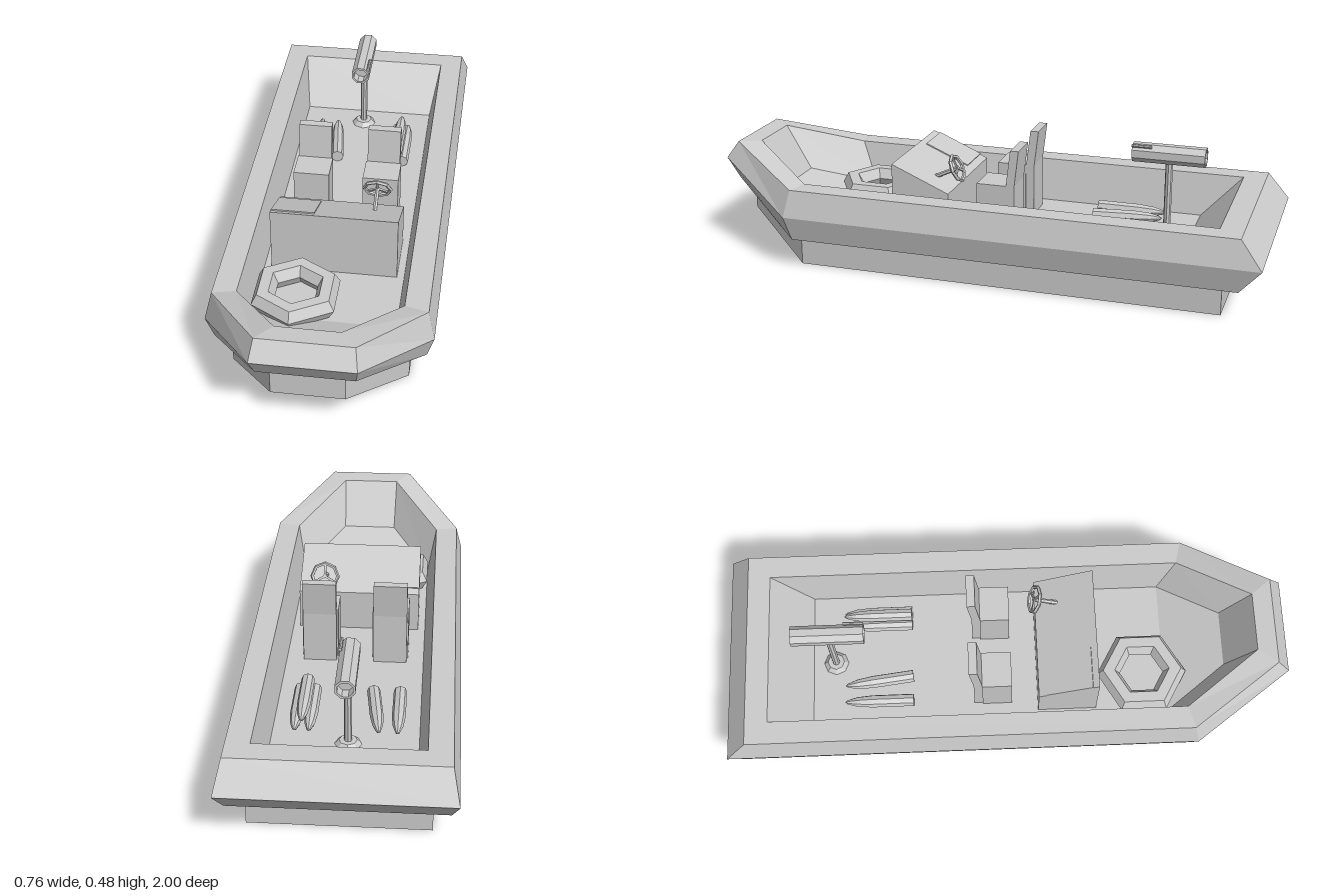
import * as THREE from 'three';

const mat = new THREE.MeshStandardMaterial({ color: 0xcccccc, flatShading: true });
const matTwo = new THREE.MeshStandardMaterial({ color: 0xcccccc, flatShading: true, side: THREE.DoubleSide });

const FLOOR = 0.145;

function add(parent, name, geo, pos = [0, 0, 0], rot = [0, 0, 0], material = mat) {
  const m = new THREE.Mesh(geo, material);
  m.name = name;
  m.position.set(...pos);
  m.rotation.set(...rot);
  parent.add(m);
  return m;
}

// Boat-shaped ring of six corners from its left stern, bend and bow corners
function ring(stern, bend, bow) {
  const half = [stern, bend, bow];
  return [...half, ...half.slice().reverse().map(([x, y, z]) => [-x, y, z])];
}

// Skin a list of rings, with optional flat caps on the first and last
function loft(rings, capStart, capEnd) {
  const v = [];
  const quad = (a, b, c, d) => [a, b, c, a, c, d].forEach(p => v.push(...p));
  for (let r = 0; r < rings.length - 1; r++) {
    const lo = rings[r], hi = rings[r + 1];
    for (let i = 0; i < 6; i++) {
      const j = (i + 1) % 6;
      quad(lo[i], hi[i], hi[j], lo[j]);
    }
  }
  const cap = (p, flip) => [[0, 1, 4, 5], [1, 2, 3, 4]].forEach(q => {
    const c = q.map(i => p[i]);
    quad(...(flip ? c.reverse() : c));
  });
  if (capStart) cap(rings[0], false);
  if (capEnd) cap(rings[rings.length - 1], true);
  const g = new THREE.BufferGeometry();
  g.setAttribute('position', new THREE.Float32BufferAttribute(v, 3));
  g.computeVertexNormals();
  return g;
}

// Side profile given as [z, y] points, extruded across x and centred
function sideExtrude(points, width) {
  const s = new THREE.Shape(points.map(([z, y]) => new THREE.Vector2(-z, y)));
  const g = new THREE.ExtrudeGeometry(s, { depth: width, bevelEnabled: false });
  g.translate(0, 0, -width / 2);
  g.rotateY(Math.PI / 2);
  return g;
}

function buildBoat(root) {
  const hullBottom = ring([0.298, 0, -0.865], [0.298, 0, 0.65], [0.12, 0.13, 0.915]);
  const hullTop = ring([0.298, 0.108, -0.865], [0.298, 0.108, 0.65], [0.12, 0.235, 0.915]);
  const outerLow = ring([0.355, 0.112, -0.925], [0.355, 0.112, 0.66], [0.158, 0.253, 0.955]);
  const outerMid = ring([0.378, 0.2, -1], [0.378, 0.2, 0.68], [0.168, 0.33, 1]);
  const outerTop = ring([0.355, 0.297, -0.925], [0.355, 0.297, 0.66], [0.157, 0.393, 0.955]);
  const innerTop = ring([0.275, 0.297, -0.845], [0.275, 0.297, 0.64], [0.105, 0.387, 0.887]);
  const floor = ring([0.245, FLOOR, -0.7], [0.245, FLOOR, 0.58], [0.1, 0.225, 0.79]);
  add(root, 'hull', loft([hullBottom, hullTop], true, false));
  add(root, 'floatCollar', loft([hullTop, outerLow, outerMid, outerTop, innerTop], false, false));
  add(root, 'cockpitLining', loft([innerTop, floor], false, false));
  add(root, 'floor', loft([floor], false, true));
}

function buildSeat(root, x) {
  const seat = new THREE.Group();
  seat.name = 'seat';
  seat.position.x = x;
  const h = 0.335 - FLOOR;
  add(seat, 'seatBase', new THREE.BoxGeometry(0.128, h, 0.105), [0, FLOOR + h / 2, -0.0325]);
  const profile = [[-0.08, FLOOR], [-0.115, FLOOR], [-0.115, 0.335], [-0.13, 0.463], [-0.1, 0.463], [-0.085, 0.335]];
  add(seat, 'seatBack', sideExtrude(profile, 0.118));
  root.add(seat);
}

function buildConsole(root) {
  const profile = [[0.325, FLOOR], [0.115, FLOOR], [0.115, 0.295], [0.325, 0.385]];
  add(root, 'console', sideExtrude(profile, 0.44));
  // Thin chart panel lying on the sloped top
  const tilt = -Math.atan2(0.09, 0.21);
  add(root, 'chartPanel', new THREE.BoxGeometry(0.15, 0.006, 0.175), [-0.145, 0.342, 0.222], [tilt, 0, 0]);

  const wheel = new THREE.Group();
  wheel.name = 'steeringWheel';
  wheel.position.set(0.125, 0.362, 0.113);
  wheel.rotation.x = 0.44;
  add(wheel, 'wheelRim', new THREE.TorusGeometry(0.047, 0.007, 5, 8));
  for (let i = 0; i < 3; i++) {
    const a = i * Math.PI * 2 / 3 + Math.PI / 2;
    add(wheel, 'wheelSpoke', new THREE.BoxGeometry(0.047, 0.008, 0.006),
      [Math.cos(a) * 0.023, Math.sin(a) * 0.023, 0], [0, 0, a]);
  }
  add(wheel, 'steeringColumn', new THREE.CylinderGeometry(0.008, 0.008, 0.095, 6), [0, 0, 0.042], [Math.PI / 2, 0, 0]);
  root.add(wheel);
}

function buildLauncher(root) {
  const g = new THREE.Group();
  g.name = 'launcher';
  g.position.set(-0.012, 0, -0.618);
  add(g, 'mountBase', new THREE.CylinderGeometry(0.03, 0.045, 0.016, 8), [0, FLOOR + 0.008, 0]);
  add(g, 'mountPost', new THREE.CylinderGeometry(0.013, 0.013, 0.27, 8), [0, FLOOR + 0.135, 0]);
  // Hollow octagonal tube with a closed middle
  const pts = [[0, -0.09], [0.027, -0.09], [0.027, -0.128], [0.035, -0.128], [0.035, 0.128], [0.027, 0.128], [0.027, 0.09], [0, 0.09]];
  const tube = new THREE.LatheGeometry(pts.map(p => new THREE.Vector2(...p)), 8);
  tube.rotateY(Math.PI / 8);
  tube.rotateX(Math.PI / 2);
  add(g, 'launchTube', tube, [0, 0.441, 0], [0, 0, 0], matTwo);
  add(g, 'sight', new THREE.CylinderGeometry(0.006, 0.006, 0.07, 8), [0.029, 0.47, 0.093], [Math.PI / 2, 0, 0]);
  root.add(g);
}

function buildRockets(root) {
  // Pointed eight-sided body with its nose toward the stern
  const pts = [[0, 0], [0.023, 0], [0.023, 0.15], [0.018, 0.205], [0.008, 0.24], [0, 0.25]];
  const geo = new THREE.LatheGeometry(pts.map(p => new THREE.Vector2(...p)), 8);
  geo.rotateX(-Math.PI / 2);
  const low = FLOOR + 0.022;
  const spots = [[-0.172, low, 0], [-0.08, low, 0.12], [0.122, low, 0], [0.17, low, 0], [0.146, low + 0.038, 0]];
  for (const [x, y, turn] of spots) add(root, 'rocket', geo, [x, y, -0.335], [0, turn, 0]);
}

export function createModel() {
  const root = new THREE.Group();
  root.name = 'patrolBoat';
  buildBoat(root);
  buildConsole(root);
  for (const x of [-0.125, 0.125]) buildSeat(root, x);
  buildLauncher(root);
  buildRockets(root);

  // Six-sided life ring lying on the foredeck
  const buoy = new THREE.TorusGeometry(0.12, 0.042, 6, 6);
  buoy.rotateZ(Math.PI / 6);
  buoy.rotateX(Math.PI / 2);
  add(root, 'lifeRing', buoy, [-0.105, FLOOR + 0.04, 0.495]);
  return root;
}
